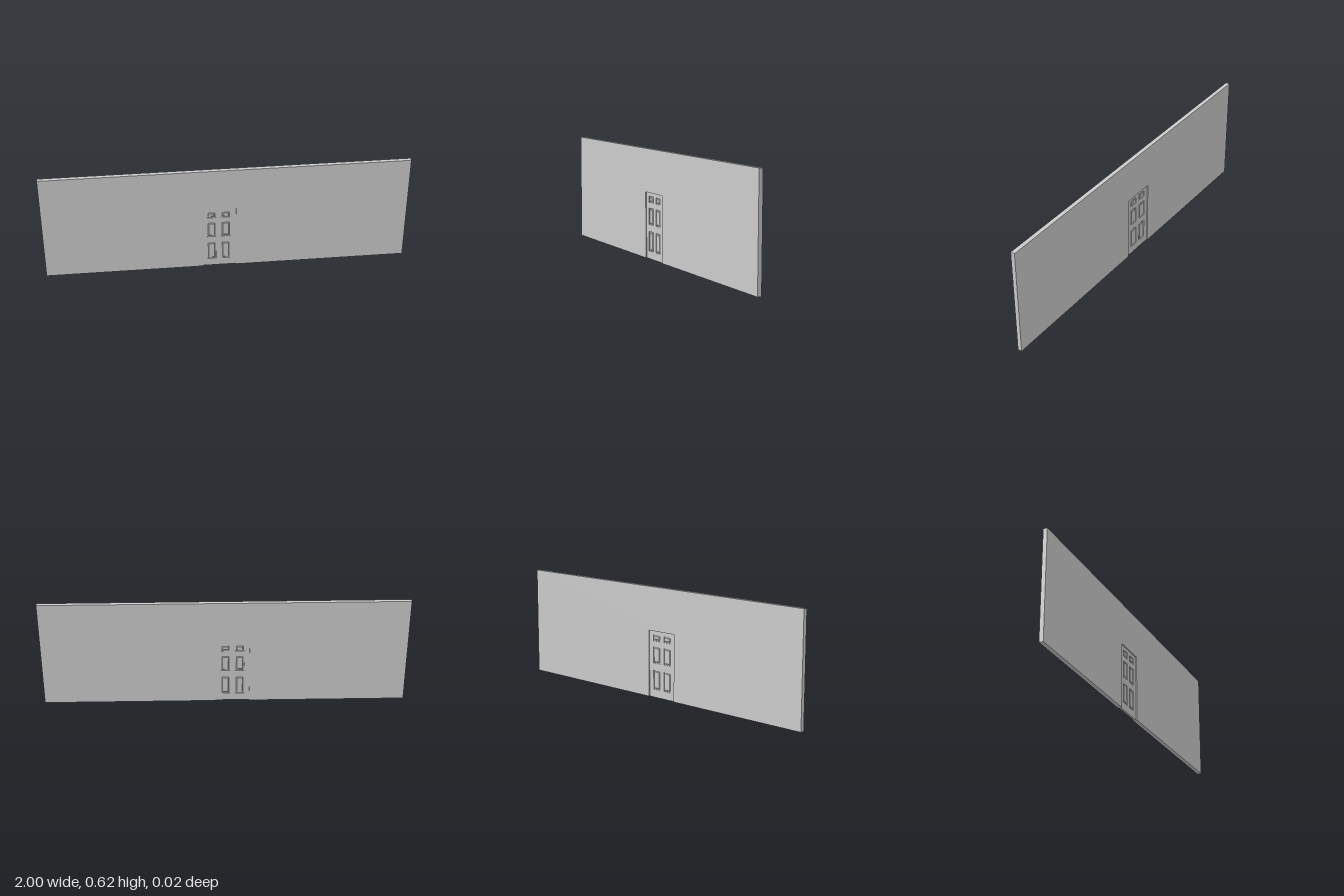
import * as THREE from 'three';

const WALL = { width: 2, height: 0.615, depth: 0.023 };
const DOOR = { left: -0.137, right: 0.052, top: 0.372, depth: 0.011 };
const COLUMNS = [[-0.108, -0.058], [-0.03, 0.021]];
const ROWS = [[0.044, 0.153], [0.192, 0.285], [0.316, 0.351]];

const material = new THREE.MeshStandardMaterial({ color: 0xcccccc, flatShading: true });

function trace(path, points) {
  points.forEach(([x, y], i) => (i ? path.lineTo(x, y) : path.moveTo(x, y)));
  path.closePath();
  return path;
}

const rect = (x0, x1, y0, y1) => [[x0, y0], [x1, y0], [x1, y1], [x0, y1]];

// Extrude a shape so that it is centred on z = 0
function slab(name, shape, depth, bevel) {
  const options = bevel
    ? { depth, bevelEnabled: true, bevelSegments: 1, bevelSize: bevel.size, bevelOffset: -bevel.size, bevelThickness: bevel.thickness }
    : { depth, bevelEnabled: false };
  const geometry = new THREE.ExtrudeGeometry(shape, options);
  geometry.translate(0, 0, -depth / 2);
  const mesh = new THREE.Mesh(geometry, material);
  mesh.name = name;
  return mesh;
}

export function createModel() {
  const model = new THREE.Group();
  model.name = 'wallWithDoor';

  // Wall with a doorway open to the floor
  const half = WALL.width / 2;
  const outline = trace(new THREE.Shape(), [
    [-half, 0], [DOOR.left, 0], [DOOR.left, DOOR.top], [DOOR.right, DOOR.top],
    [DOOR.right, 0], [half, 0], [half, WALL.height], [-half, WALL.height],
  ]);
  model.add(slab('wall', outline, WALL.depth));

  // Door leaf, set back from both wall faces
  const door = new THREE.Group();
  door.name = 'door';
  const leaf = trace(new THREE.Shape(), rect(DOOR.left, DOOR.right, 0, DOOR.top));
  for (const [x0, x1] of COLUMNS) {
    for (const [y0, y1] of ROWS) {
      leaf.holes.push(trace(new THREE.Path(), rect(x0, x1, y0, y1)));

      // Sunken panel with a bevelled raised field on both sides
      const sunken = trace(new THREE.Shape(), rect(x0, x1, y0, y1));
      door.add(slab('sunkenPanel', sunken, 0.003));
      const g = 0.006;
      const field = trace(new THREE.Shape(), rect(x0 + g, x1 - g, y0 + g, y1 - g));
      door.add(slab('raisedField', field, 0.003, { size: 0.004, thickness: 0.003 }));
    }
  }
  door.add(slab('doorFrame', leaf, DOOR.depth));
  model.add(door);

  return model;
}
